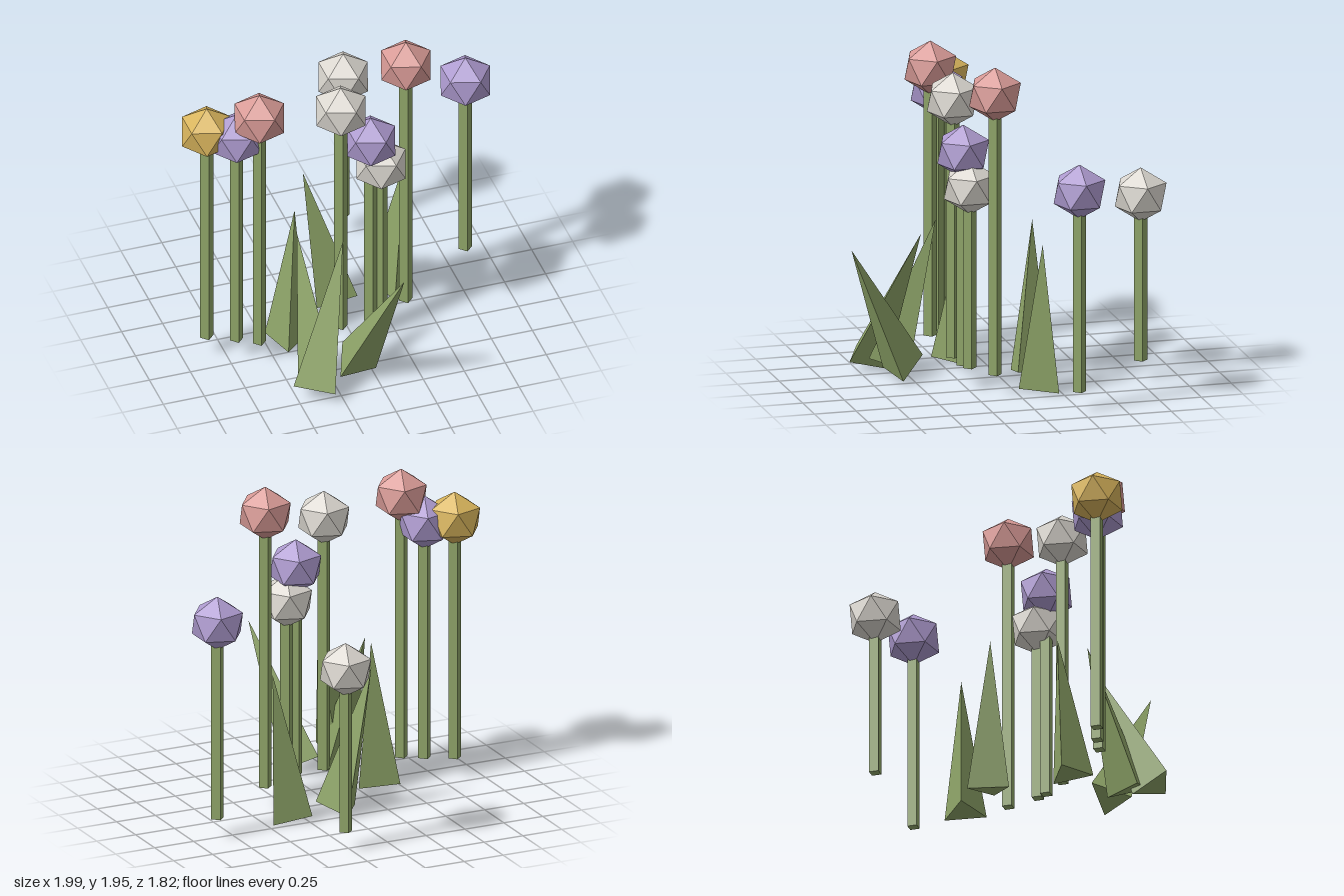
import * as THREE from 'three';

const flat = (name, color) => {
  const m = new THREE.MeshStandardMaterial({ color, flatShading: true });
  m.name = name;
  return m;
};

export function createModel() {
  const root = new THREE.Group();
  root.name = 'flowerPatch';

  const mats = {
    green: flat('leafGreen', 0x8ea468),
    pink: flat('petalPink', 0xd89a96),
    yellow: flat('petalYellow', 0xd8b45c),
    purple: flat('petalPurple', 0xae9bd0),
    white: flat('petalWhite', 0xdad6cf),
  };
  const UP = new THREE.Vector3(0, 1, 0);
  const STEM_BASE = 0.115;

  // Flower head: icosahedron standing on a corner
  const headGeo = new THREE.IcosahedronGeometry(1, 0);
  headGeo.rotateZ(-Math.atan(2 / (1 + Math.sqrt(5))));
  headGeo.scale(0.167, 0.162, 0.167);

  // Flowers: colour, then head centre x, y, z
  const flowers = [
    ['yellow', -0.85, 1.58, 0.1],
    ['purple', -0.695, 1.555, 0.18],
    ['pink', -0.58, 1.715, 0.25],
    ['white', -0.085, 1.655, 0.255],
    ['purple', 0.1, 1.39, 0.245],
    ['white', 0.17, 1.195, 0.225],
    ['white', 0.277, 1.105, -0.77],
    ['pink', 0.355, 1.79, 0.126],
    ['purple', 0.843, 1.31, -0.243],
  ];
  for (const [color, x, y, z] of flowers) {
    const flower = new THREE.Group();
    flower.name = color + 'Flower';
    flower.position.set(x, 0, z);

    const head = new THREE.Mesh(headGeo, mats[color]);
    head.name = 'flowerHead';
    head.position.y = y;

    // Square stem turned corner-forward, ending inside the head
    const h = y - 0.1 - STEM_BASE;
    const stem = new THREE.Mesh(new THREE.CylinderGeometry(0.04, 0.04, h, 4), mats.green);
    stem.name = 'stem';
    stem.position.y = STEM_BASE + h / 2;

    flower.add(head, stem);
    root.add(flower);
  }

  // Leaves: three-sided spikes, leaning from foot centre towards tip
  const leafGeo = new THREE.ConeGeometry(0.1415, 0.88, 3);
  leafGeo.translate(0, 0.44, 0);

  // foot, tip, spin in degrees
  const leaves = [
    [[0.017, 0.024, -0.158], [-0.15, 0.89, -0.24], 54],
    [[0.348, 0.018, -0.162], [0.436, 0.895, -0.137], -3.5],
    [[-0.38, 0.022, 0.156], [-0.318, 0.893, 0.11], -15],
    [[-0.311, 0.042, 0.583], [-0.362, 0.866, 0.28], 19],
    [[-0.393, 0.056, 0.7], [-0.135, 0.845, 0.435], 36.5],
    [[-0.11, 0.065, 0.547], [0.08, 0.845, 0.91], 72],
  ];
  for (const [foot, tip, spin] of leaves) {
    const leaf = new THREE.Mesh(leafGeo, mats.green);
    leaf.name = 'leaf';
    leaf.position.set(...foot);
    const axis = new THREE.Vector3(...tip).sub(leaf.position).normalize();
    const turn = new THREE.Quaternion().setFromAxisAngle(UP, THREE.MathUtils.degToRad(spin));
    leaf.quaternion.setFromUnitVectors(UP, axis).multiply(turn);
    root.add(leaf);
  }

  return root;
}
